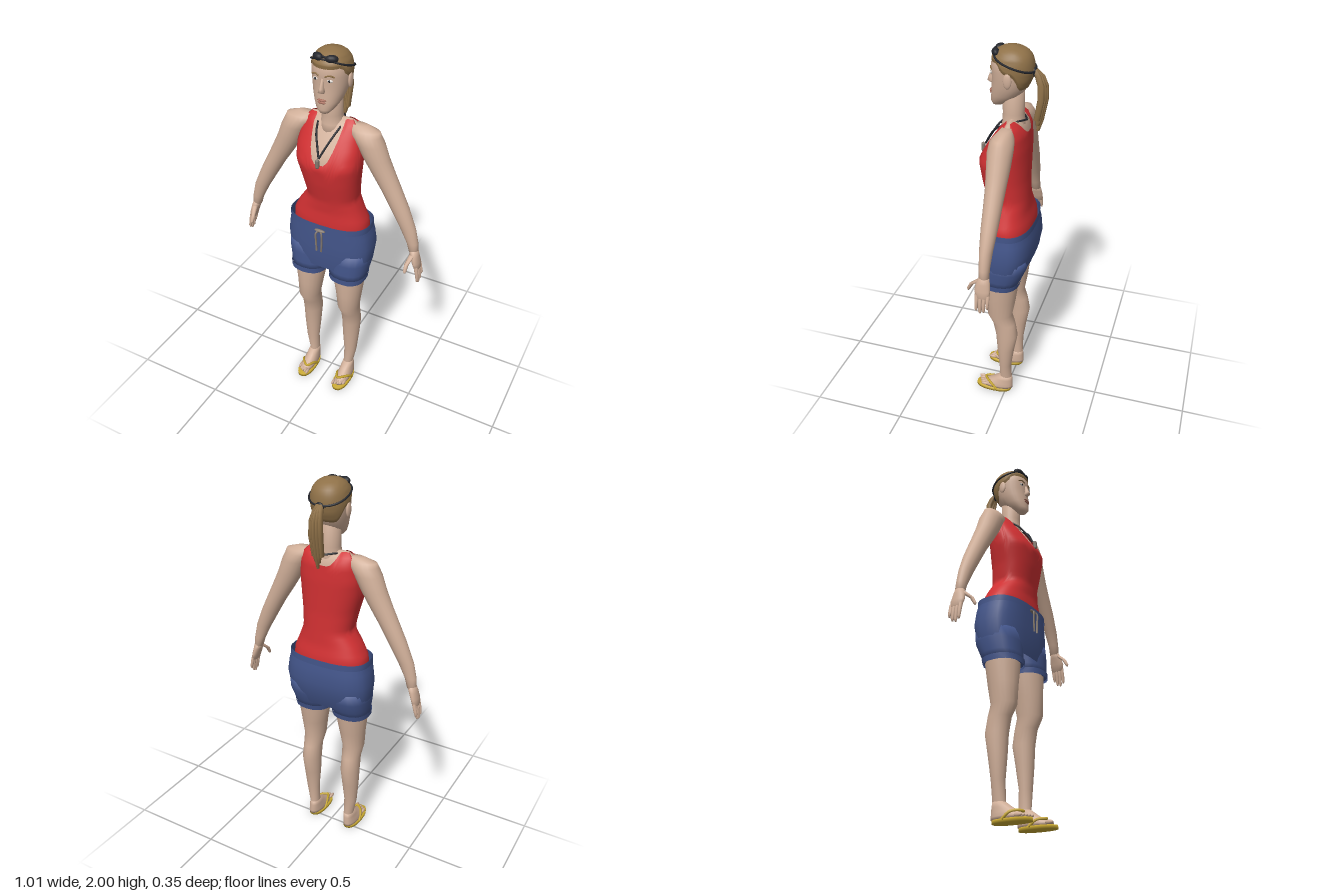
import * as THREE from 'three';

const mat = (name, color, double) => {
  const m = new THREE.MeshStandardMaterial({ color });
  m.name = name;
  if (double) m.side = THREE.DoubleSide;
  return m;
};

// A profile row is [y, centre x, half width, front z, back z].
function ringPoint(rows, y, t, off = 0, e = 1) {
  let k = 0;
  while (k < rows.length - 2 && y > rows[k + 1][0]) k++;
  const a = rows[k], b = rows[k + 1];
  const f = THREE.MathUtils.clamp((y - a[0]) / (b[0] - a[0]), 0, 1);
  const [, cx, hw, zf, zb] = a.map((v, i) => v + (b[i] - v) * f);
  const pw = (v) => Math.sign(v) * Math.pow(Math.abs(v), e);
  return [cx + (hw + off) * pw(Math.cos(t)), y, (zf + zb) / 2 + ((zf - zb) / 2 + off) * pw(Math.sin(t))];
}

// Skin a profile; low/high may vary the edges with the angle (90 degrees is the front).
function loft(rows, { n = 20, e = 1, off = 0, low, high, steps = 18, capped = true } = {}) {
  const pos = [], idx = [];
  const levels = low || high ? steps : rows.length - 1;
  for (let j = 0; j <= levels; j++) {
    for (let i = 0; i < n; i++) {
      const t = (i / n) * Math.PI * 2;
      let y = rows[Math.min(j, rows.length - 1)][0];
      if (low || high) {
        const y0 = low ? low(t) : rows[0][0], y1 = high ? high(t) : rows[rows.length - 1][0];
        y = y0 + (y1 - y0) * (j / levels);
      }
      pos.push(...ringPoint(rows, y, t, off, e));
      if (j < levels) {
        const a = j * n + i, b = j * n + (i + 1) % n;
        idx.push(a, a + n, b, b, a + n, b + n);
      }
    }
  }
  if (capped) {
    for (const [j, row] of [[0, rows[0]], [levels, rows[rows.length - 1]]]) {
      const c = pos.length / 3;
      pos.push(row[1], row[0], (row[3] + row[4]) / 2);
      for (let i = 0; i < n; i++) {
        const a = j * n + i, b = j * n + (i + 1) % n;
        if (j) idx.push(c, b, a); else idx.push(c, a, b);
      }
    }
  }
  const g = new THREE.BufferGeometry();
  g.setAttribute('position', new THREE.Float32BufferAttribute(pos, 3));
  g.setIndex(idx);
  g.computeVertexNormals();
  return g;
}

const tube = (pts, r, closed = false, seg = 24) => new THREE.TubeGeometry(
  new THREE.CatmullRomCurve3(pts.map((p) => new THREE.Vector3(...p)), closed), seg, r, 6, closed);

const blob = (x, y, z, sx, sy, sz) =>
  new THREE.SphereGeometry(1, 14, 10).scale(sx, sy, sz).translate(x, y, z);

// Tapered finger-like limb, points listed upwards as [x, y, z, radius]
const limb = (pts) => loft(pts.map(([x, y, z, r]) => [y, x, r, z + r, z - r]), { n: 8 });

function mirrored(g) {
  const m = g.clone().scale(-1, 1, 1), ix = m.index.array;
  for (let i = 0; i < ix.length; i += 3) [ix[i], ix[i + 1]] = [ix[i + 1], ix[i]];
  m.computeVertexNormals();
  return m;
}

export function createModel() {
  const root = new THREE.Group();
  const skin = mat('skin', 0xcfae98), red = mat('shirt red', 0xd03032, true);
  const blue = mat('shorts blue', 0x43558a, true), brown = mat('hair brown', 0x8f7148, true);
  const black = mat('black', 0x24262c), yellow = mat('sandal yellow', 0xc8a832);
  const white = mat('eye white', 0xe4ddd6), lip = mat('lip', 0xa8705f), grey = mat('cord grey', 0x857a70);

  const add = (name, g, m) => {
    const mesh = new THREE.Mesh(g, m);
    mesh.name = name;
    root.add(mesh);
  };
  const pair = (name, g, m) => {
    add('left ' + name, g, m);
    add('right ' + name, mirrored(g), m);
  };
  const ss = THREE.MathUtils.smoothstep;

  // Torso and shirt share one profile
  const torso = [[1.08, 0, .2, .11, -.115], [1.12, 0, .197, .11, -.113], [1.18, .004, .168, .105, -.1],
    [1.25, .017, .128, .11, -.095], [1.35, .012, .142, .132, -.09], [1.45, .004, .162, .148, -.09],
    [1.52, 0, .165, .112, -.09], [1.6, 0, .152, .062, -.085], [1.645, 0, .137, .03, -.062], [1.665, 0, .115, 0, -.03]];
  add('torso', loft(torso, { n: 32, e: .85, off: -.007 }), skin);
  const shirtTop = (t) => {
    const c = Math.abs(Math.cos(t)), s = Math.sin(t);
    const neck = s > 0 ? 1.47 : 1.6;
    const y = neck + (1.665 - neck) * ss(c, .1, .6);
    return y - .15 * ss(c, .93, 1);
  };
  add('tank top', loft(torso, { n: 64, e: .85, off: .003, high: shirtTop, steps: 28, capped: false }), red);

  // Shorts
  const hips = [[.83, 0, .212, .11, -.095], [.9, 0, .228, .12, -.125], [.98, 0, .236, .122, -.14],
    [1.05, 0, .226, .122, -.135], [1.085, 0, .218, .122, -.128], [1.11, 0, .216, .122, -.126]];
  add('shorts hips', loft(hips, { n: 32, e: .75, capped: false }), blue);
  add('waistband', loft([[1.08, 0, .22, .126, -.13], [1.11, 0, .22, .126, -.13]], { n: 32, e: .75, capped: false }), blue);
  pair('shorts leg', loft([[.775, .112, .097, .116, -.07], [.82, .112, .103, .115, -.09],
    [.88, .114, .112, .115, -.115], [.94, .115, .112, .11, -.12]], { e: .85 }), blue);
  pair('shorts cuff', loft([[.765, .112, .1, .122, -.075], [.795, .112, .103, .122, -.082]], { e: .85, capped: false }), blue);
  pair('drawstring', tube([[.003, 1.08, .13], [.015, 1.07, .142], [.016, 1.02, .142], [.013, .96, .142]], .005), grey);
  add('drawstring knot', blob(0, 1.08, .13, .03, .008, .01), grey);

  // Legs and feet
  pair('leg', loft([[.04, .112, .028, .045, -.035], [.1, .112, .027, .035, -.032], [.2, .122, .036, .035, -.032],
    [.32, .122, .046, .045, -.05], [.42, .122, .051, .052, -.068], [.5, .121, .05, .068, -.055],
    [.56, .12, .058, .098, -.037], [.66, .117, .07, .1, -.055], [.77, .113, .087, .106, -.07], [.85, .112, .09, .1, -.08]]), skin);
  pair('foot', loft([[.018, .114, .038, .15, -.038], [.032, .114, .039, .15, -.038], [.05, .113, .035, .11, -.037],
    [.075, .112, .031, .07, -.036], [.1, .112, .027, .035, -.032]], { e: .9 }), skin);
  for (let i = 0; i < 5; i++)
    pair('toe ' + (i + 1), blob(.086 + i * .0145, .03, .148 - i * .007, .008, .01, .022), skin);
  pair('sandal sole', loft([[0, .114, .045, .175, -.03], [.018, .114, .045, .175, -.03]], { e: .85 }), yellow);
  pair('sandal strap', tube([[.07, .015, .045], [.08, .045, .085], [.1, .05, .125], [.125, .052, .11],
    [.148, .045, .08], [.158, .015, .045]], .007), yellow);

  // Arms and hands
  pair('arm', loft([[1.03, .455, .024, .022, -.028], [1.08, .445, .03, .024, -.028], [1.16, .415, .041, .03, -.034],
    [1.26, .365, .049, .036, -.045], [1.34, .322, .053, .038, -.05], [1.42, .276, .06, .042, -.055],
    [1.5, .232, .066, .05, -.062], [1.57, .2, .072, .055, -.066], [1.61, .175, .077, .05, -.062],
    [1.63, .165, .08, .034, -.05], [1.65, .135, .05, .012, -.035]]), skin);
  pair('palm', loft([[.94, .483, .014, .032, -.036], [.975, .475, .018, .04, -.038], [1.01, .464, .021, .034, -.034],
    [1.04, .455, .023, .022, -.027]]), skin);
  for (let i = 0; i < 4; i++) {
    const z = .026 - i * .018, end = [.868, .855, .862, .885][i];
    pair('finger ' + (i + 1), limb([[.495, end, z, .004], [.496, end + .012, z, .008],
      [.492, .91, z, .009], [.482, .955, z, .01]]), skin);
  }
  pair('thumb', limb([[.447, .945, .08, .005], [.447, .955, .078, .009], [.447, .985, .062, .011], [.457, 1.02, .022, .014]]), skin);

  // Neck and head
  add('neck', loft([[1.58, 0, .075, .06, -.07], [1.635, 0, .058, .045, -.064], [1.68, 0, .049, .043, -.06],
    [1.8, 0, .05, .045, -.06]]), skin);
  const head = [[1.715, 0, .022, .092, .045], [1.735, 0, .043, .1, .01], [1.77, 0, .064, .097, -.045],
    [1.81, 0, .077, .094, -.075], [1.85, 0, .085, .091, -.094], [1.89, 0, .089, .094, -.102], [1.92, 0, .088, .094, -.1],
    [1.95, 0, .08, .084, -.092], [1.975, 0, .062, .064, -.072], [1.99, 0, .038, .036, -.045], [1.996, 0, .008, .003, -.012]];
  add('head', loft(head, { n: 28, e: .92 }), skin);
  const hairline = (t) => {
    const s = Math.sin(t);
    return s > 0 ? 1.89 + .05 * ss(s, 0, .6) : 1.89 - .08 * ss(-s, .1, .8);
  };
  add('hair', loft(head, { n: 40, e: .92, off: .005, low: hairline, steps: 14 }).translate(0, .003, 0), brown);
  pair('ear', blob(.092, 1.86, -.005, .009, .036, .02), skin);

  // Face
  add('nose', loft([[1.815, 0, .01, .1, .08], [1.825, 0, .016, .118, .08], [1.84, 0, .011, .114, .08],
    [1.885, 0, .007, .096, .08]], { n: 10 }), skin);
  pair('eye', blob(.035, 1.878, .086, .016, .007, .006), white);
  pair('iris', blob(.035, 1.878, .0895, .006, .006, .004), black);
  pair('eyebrow', tube([[.014, 1.896, .094], [.035, 1.903, .09], [.056, 1.896, .08]], .0035), brown);
  add('upper lip', blob(0, 1.783, .097, .024, .005, .008), lip);
  add('lower lip', blob(0, 1.772, .098, .02, .006, .007), lip);

  // Goggles pushed up on the hair
  pair('goggle lens', blob(0, 0, 0, .03, .018, .018).rotateX(-.5).rotateY(.4).translate(.034, 1.972, .066), black);
  add('goggle bridge', tube([[-.02, 1.975, .075], [0, 1.98, .078], [.02, 1.975, .075]], .005), black);
  const strap = [];
  for (let i = 0; i < 24; i++) {
    const t = (i / 24) * Math.PI * 2;
    strap.push(ringPoint(head, 1.93 + .038 * Math.sin(t), t, .009, .92));
  }
  add('goggle strap', tube(strap, .005, true, 60), black);

  // Ponytail strands fanning out behind the band
  add('hair band', new THREE.TorusGeometry(.016, .007, 8, 16).translate(0, 1.885, -.11), black);
  for (let i = -2; i <= 2; i++) {
    const d = Math.abs(i) * .007;
    const pts = [[1.6 + d * 4, i * .008, .006, -.118, -.135], [1.66, i * .011, .009, -.125 + d, -.155 + d],
      [1.76, i * .013, .01, -.142 + d, -.175 + d], [1.83, i * .012, .01, -.14 + d, -.174 + d],
      [1.875, i * .008, .01, -.11, -.155 + d], [1.9, i * .004, .009, -.09, -.12]];
    add('ponytail strand ' + (i + 3), loft(pts, { n: 8 }), brown);
  }

  // Whistle on a neck cord
  pair('whistle cord', tube([[0, 1.65, -.075], [.045, 1.655, -.045], [.06, 1.64, .01], [.045, 1.6, .07],
    [.022, 1.55, .105], [0, 1.5, .133]], .005), black);
  add('whistle', new THREE.CapsuleGeometry(.01, .03, 4, 10).translate(0, 1.478, .146), grey);
  return root;
}
